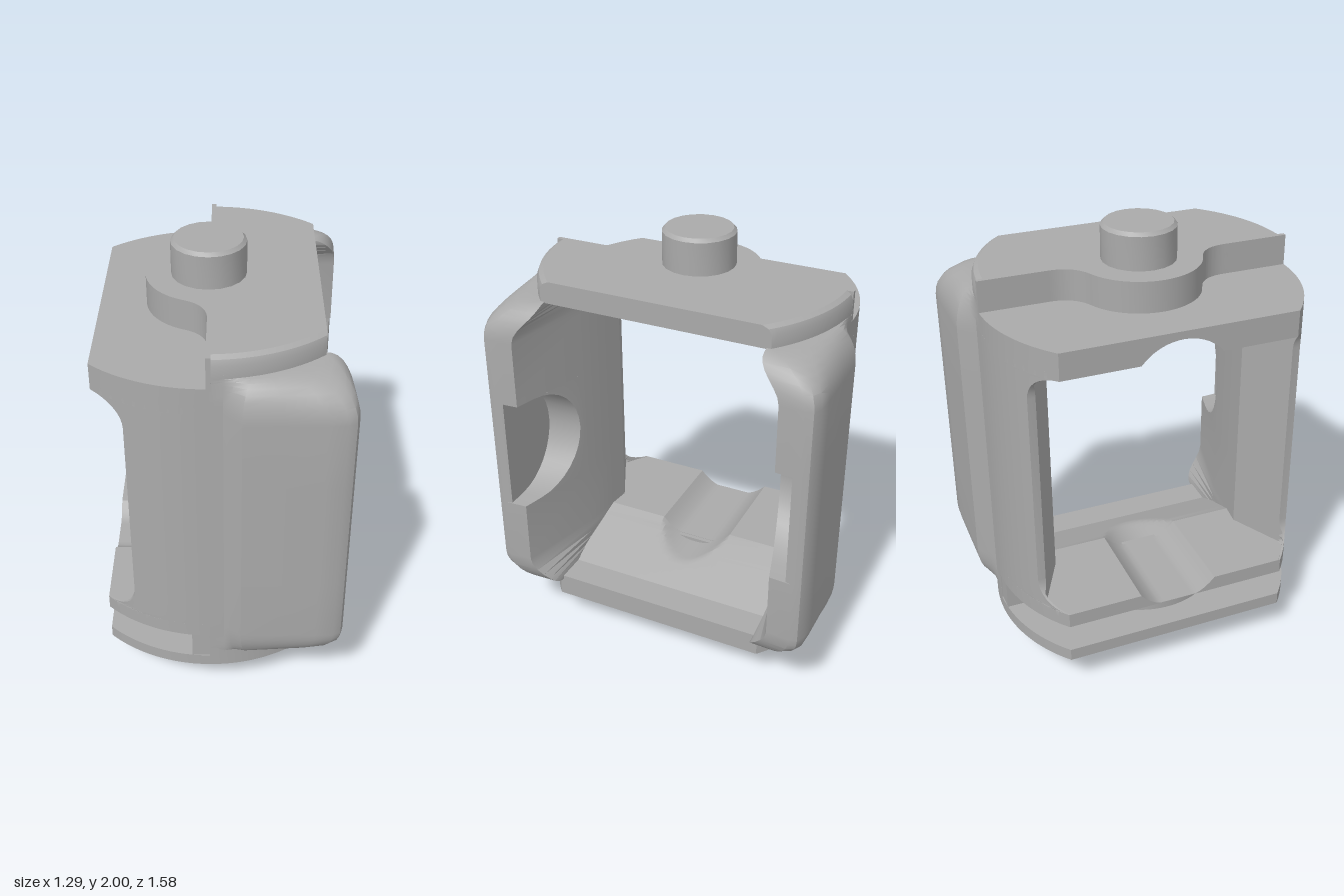
import * as THREE from 'three';
import { toCreasedNormals } from 'three/addons/utils/BufferGeometryUtils.js';

const R = 0.7, HALF = 0.47, MID = 1.005;          // disc radius, half width, mid height
const lerp = (a, b, t) => a + (b - a) * t;
const rim = (x, r = R) => Math.sqrt(Math.max(0, r * r - x * x));
// inner face of the side walls: narrowest near x = -0.1, flaring to both sides
const innerWall = x => x > 0.2 ? 0.4975 + 0.27 * (x - 0.2)
  : x > -0.1 ? 0.4725 + 0.125 * x : Math.min(0.46 - 0.5 * (x + 0.1), rim(x) - 0.01);

// Skin closed cross-sections of [x, y, z] points; ends are closed by pairing opposite points
function loft(sections) {
  const n = sections[0].length, pos = sections.flat(2), idx = [];
  for (let s = 0; s < sections.length - 1; s++)
    for (let i = 0; i < n; i++) {
      const a = s * n + i, b = s * n + (i + 1) % n;
      idx.push(a, b, b + n, a, b + n, a + n);
    }
  const last = (sections.length - 1) * n;
  for (let i = 0; i < n / 2 - 1; i++) {
    const a = i, b = i + 1, c = n - 2 - i, d = n - 1 - i;
    idx.push(a, c, b, a, d, c, last + a, last + b, last + c, last + a, last + c, last + d);
  }
  // turn faces outward
  const p = k => new THREE.Vector3(pos[3 * k], pos[3 * k + 1], pos[3 * k + 2]);
  let vol = 0;
  for (let i = 0; i < idx.length; i += 3) vol += p(idx[i]).dot(p(idx[i + 1]).cross(p(idx[i + 2])));
  if (vol < 0) idx.reverse();
  const g = new THREE.BufferGeometry();
  g.setAttribute('position', new THREE.Float32BufferAttribute(pos, 3));
  g.setIndex(idx);
  return toCreasedNormals(g, 0.55);
}

// Extrude a plan shape (x, z) between two heights
function slab(shape, y0, y1) {
  const g = new THREE.ExtrudeGeometry(shape, { depth: y1 - y0, bevelEnabled: false, curveSegments: 24 });
  g.rotateX(Math.PI / 2).translate(0, y1, 0);
  return toCreasedNormals(g, 0.55);
}

// Plan of the disc between two straight cuts
function discPlan(x0, x1, r = R) {
  const out = [];
  for (let i = 0; i <= 24; i++) { const x = lerp(x0, x1, i / 24); out.push([x, rim(x, r)]); }
  return out.concat(out.map(([x, z]) => [x, -z]).reverse());
}
const toShape = pts => new THREE.Shape(pts.map(([x, z]) => new THREE.Vector2(x, z)));

// Plan of the round hub that bulges past a straight step line
function hubPlan(edge, r, tx, zStart) {
  const s = new THREE.Shape(), z = rim(tx, r), a = Math.atan2(z, tx);
  s.moveTo(0.02, -rim(edge));
  s.lineTo(edge, -rim(edge));
  s.lineTo(edge, -zStart);
  s.quadraticCurveTo(edge, -z - 0.04, tx, -z);
  s.absarc(0, 0, r, -a, a, true);
  s.quadraticCurveTo(edge, z + 0.04, edge, zStart);
  s.lineTo(edge, rim(edge));
  s.lineTo(0.02, rim(edge));
  return s;
}

// Bulged cheek with rounded ends and a round pocket on its inner face
function cheek(side) {
  const full = [[0.066, 0.7], [0.09, 0.72], [0.14, 0.767], [0.3, 0.767], [0.47, 0.767],
    [0.55, 0.764], [0.585, 0.745], [0.597, 0.71]];
  const section = (y, t, uc) => {
    const pocket = uc !== undefined, xEnd = lerp(HALF, 0.59, t);
    const end = [xEnd, pocket ? 0.677 : lerp(0.5, 0.603, t ** 4)];
    const pts = [[0, R]];
    full.forEach(([x, z], i) => {
      const ax = lerp(0.066, HALF, i / 7);
      pts.push([lerp(ax, x, t), lerp(rim(ax), z, t)]);
    });
    pts.push(end, pocket ? [uc, 0.677] : end, pocket ? [uc, innerWall(uc)] : end);
    pts.push([0.2, innerWall(0.2)], [0, innerWall(0)]);
    return pts.map(([x, z]) => [x, y, z * side]);
  };
  const rows = [section(0.25, 0)];
  const ends = [];
  for (let k = 0; k <= 8; k++) {
    const a = (k / 8) * Math.PI / 2;
    ends.push([0.265 + 0.17 * (1 - Math.cos(a)), Math.sin(a)]);
  }
  ends.forEach(([y, t]) => rows.push(section(y, t)));
  rows.push(section(MID - 0.265, 1));
  for (let j = 0; j <= 16; j++) {
    const a = Math.PI * j / 16;
    rows.push(section(MID - 0.265 * Math.cos(a), 1, 0.495 - 0.265 * Math.sin(a)));
  }
  rows.push(section(MID + 0.265, 1));
  ends.reverse().forEach(([y, t]) => rows.push(section(2 * MID - y, t)));
  rows.push(section(2 * MID - 0.25, 0));
  return loft(rows);
}

// Column with concave flares into the plates
function column(side) {
  const section = (y, x0) => {
    const out = [], inn = [];
    for (let i = 0; i <= 12; i++) {
      const x = i < 8 ? lerp(x0, -0.1, i / 8) : lerp(-0.1, 0, (i - 8) / 4);
      out.push([x, y, rim(x) * side]);
      inn.unshift([x, y, innerWall(x) * side]);
    }
    return out.concat(inn);
  };
  const rows = [[0.4, -HALF]];
  for (let k = 0; k <= 8; k++) {
    const a = (k / 8) * Math.PI / 2;
    rows.push([0.555 - 0.125 * Math.cos(a), -HALF + 0.133 * Math.sin(a)]);
  }
  const top = rows.map(([y, x]) => [2 * MID - y, x]).reverse();
  return loft([...rows, ...top].map(([y, x]) => section(y, x)));
}

// Inner floor, grooved across the middle and sloping down toward the open side
function floorPart(x0, x1, base, halfWidth, flip) {
  const sections = [];
  for (let i = 0; i <= 14; i++) {
    const x = lerp(x0, x1, i / 14), w = halfWidth(x);
    const h = 0.43 - 0.15 * Math.max(0, x) / 0.33;
    const zs = [-w];
    for (let k = -8; k <= 8; k++) zs.push(k * 0.0225);
    zs.push(w);
    const height = z => {
      const groove = Math.abs(z) < 0.2 ? 0.578 - Math.sqrt(0.233 ** 2 - z * z) : 9;
      return Math.max(base + 0.002, Math.min(h, groove));
    };
    const fy = y => flip ? 2 * MID - y : y;
    sections.push([...zs.map(z => [x, fy(height(z)), z]), ...zs.map(z => [x, fy(base), z]).reverse()]);
  }
  return loft(sections);
}

export function createModel() {
  const grey = new THREE.MeshStandardMaterial({ color: 0xaaaaaa });
  grey.name = 'grey';
  const model = new THREE.Group();
  model.name = 'jointFrame';
  const body = new THREE.Group();
  body.name = 'body';
  body.position.set(-0.085, 0, -0.07);
  body.rotation.y = -0.2035;
  model.add(body);
  const add = (name, geometry) => {
    const m = new THREE.Mesh(geometry, grey);
    m.name = name;
    body.add(m);
  };

  // side walls
  for (const [name, side] of [['front', 1], ['back', -1]]) {
    add(name + 'Cheek', cheek(side));
    add(name + 'Column', column(side));
  }

  // top plate with softened rim, and stepped hub
  const slopeWidth = x => innerWall(x) + 0.02;
  add('topPlate', loft([[1.74, R], [1.8, R], [1.825, 0.69], [1.838, 0.67]].map(([y, r]) =>
    discPlan(0, HALF, r).map(([x, z]) => [x, y, z]))));
  add('topHub', slab(hubPlan(0, 0.27, -0.1, 0.4), 1.69, 1.838));
  add('topInnerPlate', floorPart(-HALF, 0, 0.31, x => rim(x), true));
  add('topSlope', floorPart(0, 0.33, 0.268, slopeWidth, true));

  // bottom plate with two screw holes, slot and hub
  const plate = toShape(discPlan(0, HALF));
  for (const z of [-0.41, 0.41]) plate.holes.push(new THREE.Path().absarc(0.2, z, 0.08, 0, Math.PI * 2, true));
  add('bottomPlate', slab(plate, 0.172, 0.28));
  add('bottomFlange', slab(toShape(discPlan(-HALF, 0)), 0.172, 0.23));
  add('bottomHub', slab(hubPlan(-0.08, 0.36, -0.14, 0.5), 0.22, 0.362));
  add('bottomInnerPlate', floorPart(-HALF, 0, 0.362, x => rim(x), false));
  add('bottomSlope', floorPart(0, 0.33, 0.272, slopeWidth, false));

  // pivot pins: plain above, flatted and channelled below
  const profile = [[0, 1.83], [0.162, 1.83], [0.162, 1.985], [0.148, 2], [0, 2]];
  add('topPin', toCreasedNormals(new THREE.LatheGeometry(
    profile.map(([x, y]) => new THREE.Vector2(x, y)), 20), 0.5));
  const pin = new THREE.Shape();
  pin.absarc(0, 0, 0.162, -0.985, Math.PI + 0.985, false);
  pin.lineTo(-0.025, -0.135);
  pin.absarc(0.02, -0.02, 0.045, Math.PI, 0, true);
  pin.lineTo(0.065, -0.135);
  add('bottomPin', slab(pin, 0, 0.18));
  return model;
}
